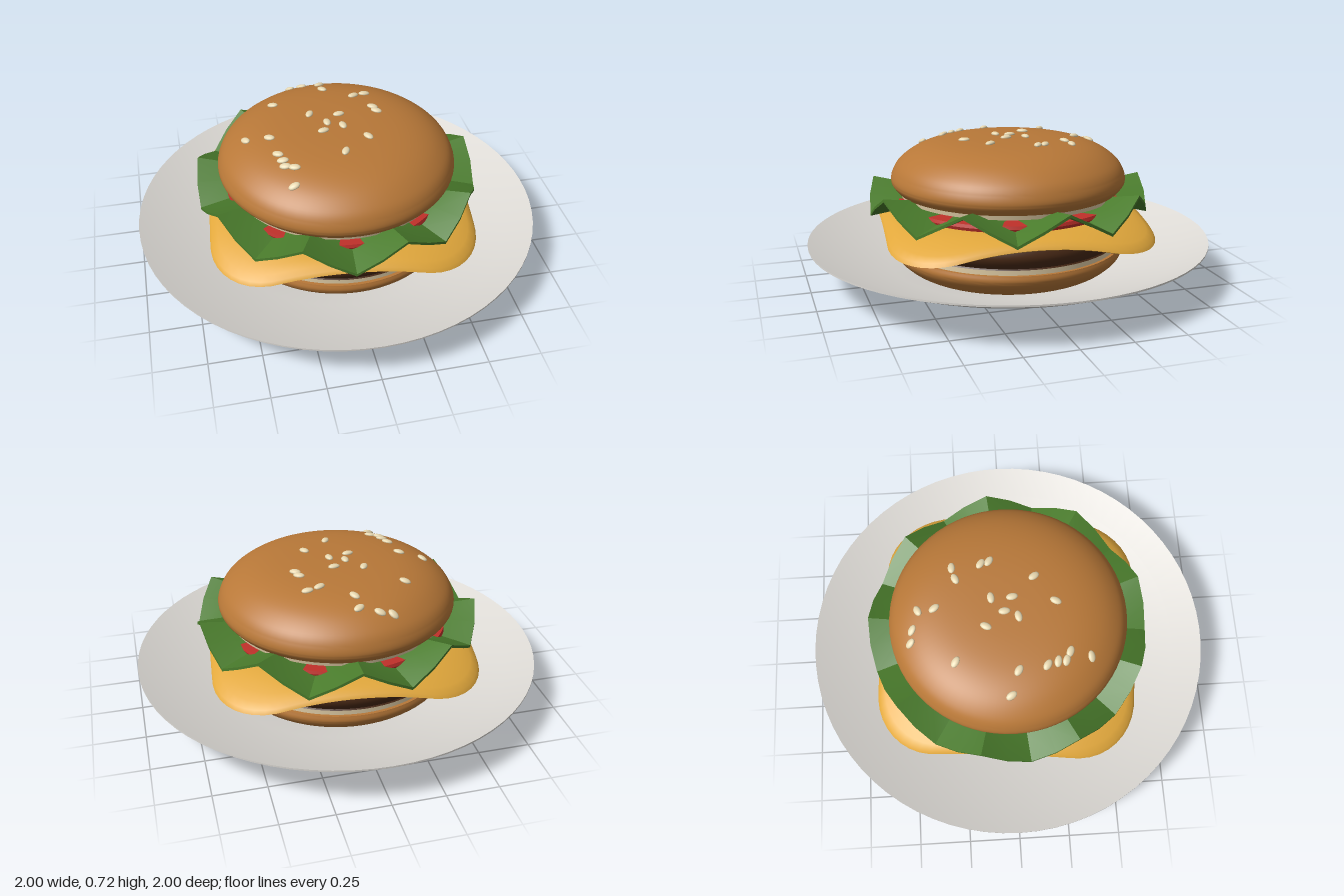
import * as THREE from 'three';
import { toCreasedNormals } from 'three/addons/utils/BufferGeometryUtils.js';

const mat = (name, color) => new THREE.MeshStandardMaterial({ name, color });
const vecs = (pts) => pts.map(([x, y]) => new THREE.Vector2(x, y));
const smooth = (pts, n = 24) => new THREE.SplineCurve(vecs(pts)).getPoints(n);

// Revolve a profile (listed bottom to top on the outside), optionally moving each vertex by a rule
function lathe(points, { segments = 72, start = 0, rule = null, crease = 0.6 } = {}) {
  const geo = new THREE.LatheGeometry(points, segments, start);
  if (rule) {
    const p = geo.attributes.position;
    const v = new THREE.Vector3();
    for (let i = 0; i < p.count; i++) {
      v.fromBufferAttribute(p, i);
      rule(v);
      p.setXYZ(i, v.x, v.y, v.z);
    }
  }
  return toCreasedNormals(geo, crease);
}

export function createModel() {
  const group = new THREE.Group();
  const plateGrey = mat('plate grey', 0xdddad5);
  const crust = mat('bun crust', 0xb87838);
  const crumb = mat('bun crumb', 0xe6d2aa);
  const meat = mat('patty brown', 0x4a2a16);
  const cheeseYellow = mat('cheese yellow', 0xe2a83c);
  const leafGreen = mat('lettuce green', 0x4a7c2c);
  const tomatoRed = mat('tomato red', 0xc0302a);
  const seedCream = mat('sesame cream', 0xe8d8b0);

  const add = (name, geo, material) => {
    const mesh = new THREE.Mesh(geo, material);
    mesh.name = name;
    group.add(mesh);
    return mesh;
  };

  // Shallow dish with a flat foot and thin rim
  add('plate', lathe(vecs([
    [0, 0], [0.34, 0], [0.4, 0.025], [0.6, 0.068], [0.86, 0.145], [1, 0.207],
    [1, 0.215], [0.86, 0.16], [0.6, 0.083], [0.4, 0.04], [0.34, 0.02], [0, 0.02],
  ]), { crease: 0.35 }), plateGrey);

  // Bottom bun with its pale cut face
  add('bottomBun', lathe([
    ...smooth([[0, 0.021], [0.36, 0.03], [0.48, 0.06], [0.55, 0.11], [0.575, 0.15], [0.57, 0.18]]),
    new THREE.Vector2(0, 0.18),
  ]), crust);
  add('bottomBunCutFace', lathe(vecs([[0, 0.178], [0.555, 0.178], [0.555, 0.205], [0, 0.205]])), crumb);

  // Patty with rounded sides
  add('patty', lathe(smooth([
    [0, 0.2], [0.5, 0.2], [0.555, 0.215], [0.58, 0.265], [0.555, 0.32], [0.5, 0.34], [0, 0.34],
  ], 36)), meat);

  // Cheese: a disc reshaped to a rounded square whose corners droop
  const half = 0.64, corner = 0.3, k = half - corner;
  const squareRadius = (angle) => {
    const a = Math.abs(Math.cos(angle)), b = Math.abs(Math.sin(angle));
    const r = half / Math.max(a, b);
    if (r * Math.min(a, b) <= k) return r;
    const s = k * (a + b);
    return s + Math.sqrt(s * s - 2 * k * k + corner * corner);
  };
  const rings = [0, 0.4, 0.6, 0.7, 0.8, 0.88, 0.94];
  const cheese = add('cheeseSlice', lathe(vecs([
    ...rings.map((r) => [r, 0.338]),
    [0.98, 0.341], [1, 0.352], [0.985, 0.365],
    ...[...rings].reverse().map((r) => [r, 0.37]),
  ]), {
    segments: 96,
    crease: 1,
    rule: (v) => {
      const f = squareRadius(Math.atan2(v.x, v.z));
      v.x *= f;
      v.z *= f;
      const t = Math.max(0, (Math.hypot(v.x, v.z) - 0.5) / 0.28);
      v.y -= 0.09 * t * t * (1.5 - 0.5 * t);
    },
  }), cheeseYellow);
  cheese.rotation.y = -0.09;

  // Tomato slice
  add('tomatoSlice', lathe(vecs([[0, 0.38], [0.545, 0.38], [0.55, 0.395], [0.545, 0.41], [0, 0.41]])), tomatoRed);

  // Lettuce: thin ring with nine waves growing towards the edge
  const phase = THREE.MathUtils.degToRad(16);
  const leafRadii = [0.3, 0.42, 0.56, 0.69];
  add('lettuce', lathe(vecs([
    ...leafRadii.map((r) => [r, 0.412]),
    ...[...leafRadii].reverse().map((r) => [r, 0.426]),
    [0.3, 0.412],
  ]), {
    segments: 36,
    start: phase,
    crease: 0.5,
    rule: (v) => {
      const r = Math.hypot(v.x, v.z);
      v.y += 0.064 * ((r - 0.3) / 0.39) * Math.cos(9 * (Math.atan2(v.x, v.z) - phase));
    },
  }), leafGreen);

  // Top bun dome and its pale cut face
  const dome = smooth([
    [0.55, 0.46], [0.58, 0.5], [0.575, 0.545], [0.54, 0.6], [0.46, 0.655],
    [0.35, 0.69], [0.2, 0.706], [0, 0.71],
  ], 40);
  dome[dome.length - 1].x = 0;
  add('topBun', lathe([new THREE.Vector2(0, 0.46), ...dome]), crust);
  add('topBunCutFace', lathe(vecs([[0, 0.436], [0.535, 0.436], [0.54, 0.462], [0, 0.462]])), crumb);

  // Sesame seeds laid on the dome: x, z, heading
  const seeds = [
    [-0.15, -0.47, 0.9], [-0.09, -0.46, 0.6], [0, -0.43, -0.5], [0, -0.35, 1.0], [-0.27, -0.26, 0.6],
    [0.14, -0.245, -0.4], [0.2, -0.26, 0], [-0.11, -0.11, -1.1], [0.21, -0.12, 0.6], [0.22, -0.08, 0.6],
    [0.03, -0.08, -0.1], [-0.04, -0.02, 1.5], [-0.44, -0.01, 1.0], [0.03, 0.02, 1.4], [-0.07, 0.045, -0.2],
    [-0.33, 0.03, 0.6], [0.13, 0.13, 1.0], [0, 0.225, -1.1], [-0.31, 0.165, 0.6], [-0.295, 0.215, 0.2],
    [-0.29, 0.255, 0.3], [-0.25, 0.275, 0.4], [-0.27, 0.375, -0.2],
  ];
  const seedGeo = new THREE.SphereGeometry(1, 12, 8).scale(0.029, 0.011, 0.018);
  const up = new THREE.Vector3(0, 1, 0);
  const sesame = new THREE.Group();
  sesame.name = 'sesameSeeds';
  group.add(sesame);
  for (const [x, z, heading] of seeds) {
    const r = Math.hypot(x, z);
    const i = dome.findIndex((p, n) => n > 8 && p.x <= r);
    const a = dome[i - 1], b = dome[i];
    const y = a.y + (b.y - a.y) * (a.x - r) / (a.x - b.x);
    const slope = (b.y - a.y) / (a.x - b.x);
    const normal = new THREE.Vector3(x / r * slope, 1, z / r * slope).normalize();
    const seed = new THREE.Mesh(seedGeo, seedCream);
    seed.name = 'sesameSeed';
    seed.position.set(x, y + 0.003, z);
    seed.quaternion.setFromUnitVectors(up, normal)
      .multiply(new THREE.Quaternion().setFromAxisAngle(up, -heading));
    sesame.add(seed);
  }
  return group;
}
